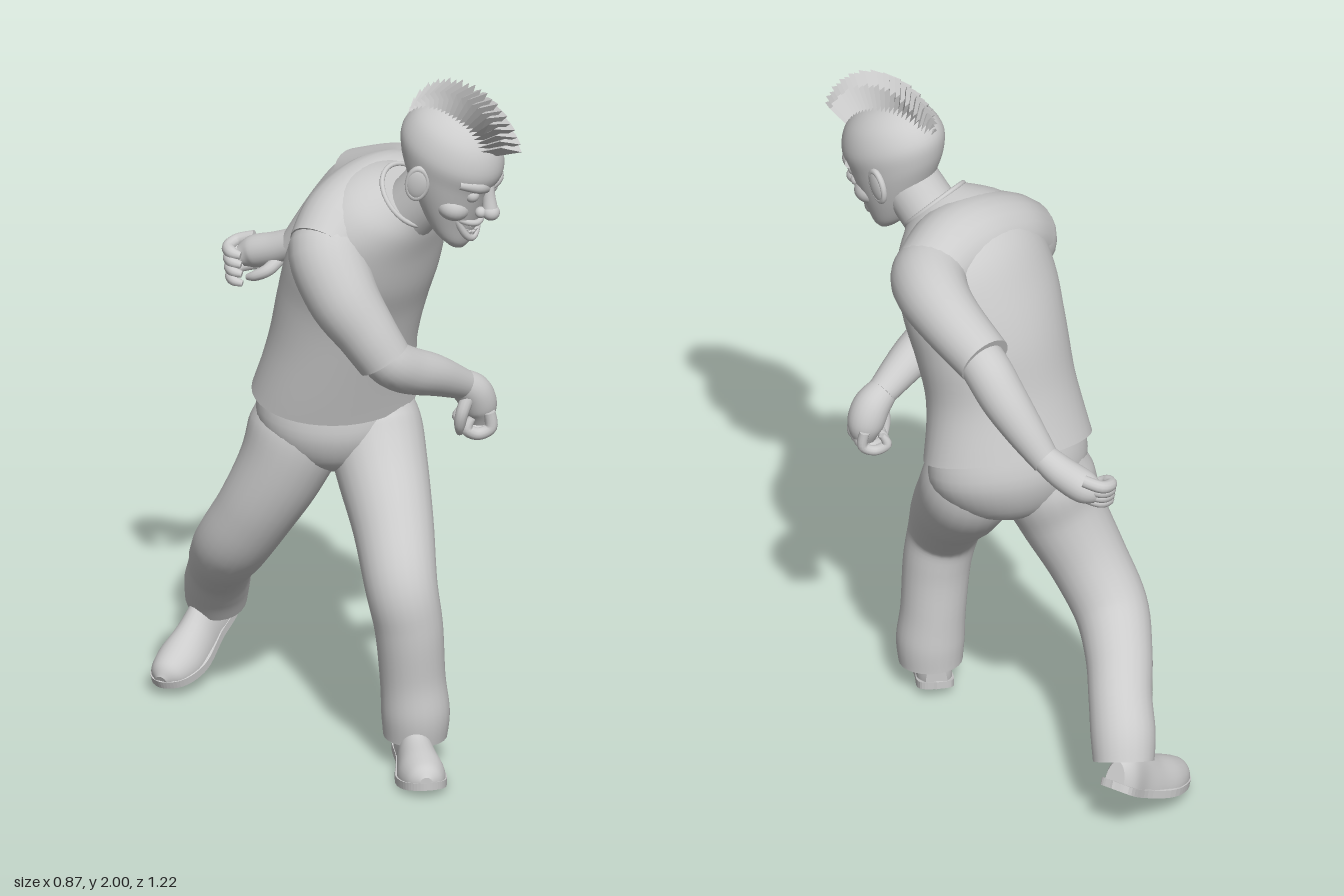
import * as THREE from 'three';

const V = (x, y, z) => new THREE.Vector3(x, y, z);
const material = new THREE.MeshStandardMaterial({ color: 0xcccccc });
const thin = new THREE.MeshStandardMaterial({ color: 0xcccccc, side: THREE.DoubleSide, flatShading: true });

function add(parent, name, geometry, mat = material) {
  const mesh = new THREE.Mesh(geometry, mat);
  mesh.name = name;
  parent.add(mesh);
  return mesh;
}

// Smooth interpolation through rows of numbers
function resample(rows, steps) {
  const out = [], last = rows.length - 1;
  for (let i = 0; i <= last * steps; i++) {
    const k = Math.min(Math.floor(i / steps), last - 1), t = i / steps - k;
    const a = rows[Math.max(k - 1, 0)], b = rows[k], c = rows[k + 1], d = rows[Math.min(k + 2, last)];
    out.push(b.map((v, n) => v + 0.5 * t * (c[n] - a[n] + t * (2 * a[n] - 5 * v + 4 * c[n] - d[n] + t * (3 * (v - c[n]) + d[n] - a[n])))));
  }
  return out;
}

// Closed skin over rings of points, with flat end caps
function skin(rings) {
  const n = rings[0].length;
  const centre = r => r.map(() => r.reduce((s, p) => s.add(p), V(0, 0, 0)).divideScalar(n));
  const end = rings[rings.length - 1];
  const all = [centre(rings[0]), rings[0], ...rings, end, centre(end)];
  const index = [];
  for (let i = 0; i < all.length - 1; i++) for (let j = 0; j < n; j++) {
    const a = i * n + j, b = i * n + (j + 1) % n;
    index.push(a, b, b + n, a, b + n, a + n);
  }
  const g = new THREE.BufferGeometry().setFromPoints(all.flat());
  g.setIndex(index);
  g.computeVertexNormals();
  return g;
}

// Rows: x, y, z, half width, half depth, yaw, pitch (bottom to top)
function loft(rows, steps = 5, n = 40) {
  return skin(resample(rows, steps).map(([x, y, z, a, b, yaw, pitch]) => {
    const e = new THREE.Euler(pitch, yaw, 0, 'YXZ');
    return Array.from({ length: n }, (_, j) => {
      const t = j / n * Math.PI * 2;
      return V(a * Math.cos(t), 0, -b * Math.sin(t)).applyEuler(e).add(V(x, y, z));
    });
  }));
}

// Rows: x, y, z, radius along a limb
function limb(rows, steps = 6, n = 24) {
  const pts = resample(rows, steps), pos = pts.map(p => V(p[0], p[1], p[2]));
  let normal = V(0.31, 0.23, 0.92);
  return skin(pts.map((p, i) => {
    const t = pos[Math.min(i + 1, pos.length - 1)].clone().sub(pos[Math.max(i - 1, 0)]).normalize();
    normal = normal.clone().addScaledVector(t, -normal.dot(t)).normalize();
    const side = t.clone().cross(normal);
    return Array.from({ length: n }, (_, j) => {
      const q = j / n * Math.PI * 2;
      return pos[i].clone().addScaledVector(normal, p[3] * Math.cos(q)).addScaledVector(side, p[3] * Math.sin(q));
    });
  }));
}

function ball(parent, name, r, [x, y, z], [sx, sy, sz] = [1, 1, 1]) {
  const m = add(parent, name, new THREE.SphereGeometry(r, 24, 16));
  m.position.set(x, y, z);
  m.scale.set(sx, sy, sz);
}

// Lifts the toe and heel of a shoe part
function curl(g) {
  const p = g.attributes.position;
  for (let i = 0; i < p.count; i++) {
    const u = (p.getZ(i) - 0.2) / 0.17;
    p.setY(i, p.getY(i) + 0.022 * u * u);
  }
  g.computeVertexNormals();
  return g;
}

// Shoe with its heel at the origin and toe towards +z
function makeShoe(name, position, yaw, pitch) {
  const shoe = new THREE.Group();
  shoe.name = name;
  const half = [[0.045, 0.015], [0.05, 0.12], [0.07, 0.26], [0.047, 0.345]];
  const outline = [[0, 0], ...half, [0, 0.37], ...half.map(([x, z]) => [-x, z]).reverse(), [0, 0]];
  const shape = new THREE.Shape(new THREE.CatmullRomCurve3(outline.map(([x, z]) => V(x, z, 0))).getPoints(60).map(p => new THREE.Vector2(p.x, p.y)));
  const sole = new THREE.ExtrudeGeometry(shape, { depth: 0.022, bevelEnabled: false });
  add(shoe, 'sole', curl(sole.rotateX(Math.PI / 2).translate(0, 0.024, 0)));
  const rows = [[0.008, 0.03, 0.06], [0.05, 0.048, 0.1], [0.12, 0.048, 0.11], [0.19, 0.058, 0.09], [0.27, 0.066, 0.074], [0.335, 0.05, 0.05], [0.364, 0.018, 0.018]];
  add(shoe, 'shoeUpper', curl(skin(resample(rows, 5).map(([z, w, h]) => Array.from({ length: 28 }, (_, j) => {
    const t = j / 28 * Math.PI * 2;
    return V(w * Math.cos(t), 0.021 + h * Math.max(0, Math.sin(t)), z);
  })))));
  shoe.position.set(...position);
  shoe.rotation.set(pitch, yaw, 0, 'YXZ');
  return shoe;
}

// Hand: palm, four curled fingers spread along a direction, and a thumb
function makeHand(name, palm, finger, spread, thumb) {
  const hand = new THREE.Group();
  hand.name = name;
  add(hand, 'palm', limb(palm));
  for (let i = 0; i < 4; i++) {
    const k = (i - 1.5) / 3, r = 0.0175 - 0.001 * i;
    add(hand, 'finger', limb(finger.map((p, q) => [...p.map((v, n) => v + spread[n] * k), q === finger.length - 1 ? r * 0.6 : r]), 5, 12));
  }
  add(hand, 'thumb', limb(thumb, 5, 12));
  return hand;
}

function makeHead() {
  const head = new THREE.Group();
  head.name = 'head';
  add(head, 'skull', loft([
    [0, -0.215, 0.108, 0.03, 0.027], [0, -0.19, 0.085, 0.058, 0.058], [0, -0.14, 0.055, 0.083, 0.088],
    [0, -0.08, 0.028, 0.104, 0.118], [0, -0.02, 0.006, 0.118, 0.143], [0, 0.04, -0.002, 0.125, 0.157],
    [0, 0.1, -0.006, 0.105, 0.132], [0, 0.14, -0.006, 0.063, 0.08], [0, 0.156, -0.006, 0.012, 0.016],
  ].map(r => [...r, 0, 0])));
  // Nose
  add(head, 'noseBridge', limb([[0, 0.005, 0.136, 0.016], [0, -0.03, 0.153, 0.018], [0, -0.062, 0.17, 0.022]]));
  ball(head, 'noseTip', 0.026, [0, -0.068, 0.174], [1, 0.9, 1]);
  for (const s of [-1, 1]) {
    ball(head, 'nostril', 0.016, [s * 0.022, -0.073, 0.157]);
    ball(head, 'eye', 0.021, [s * 0.046, -0.026, 0.124]);
    ball(head, 'cheek', 0.055, [s * 0.05, -0.085, 0.085], [0.9, 0.75, 0.9]);
    add(head, 'brow', limb([[s * 0.008, -0.006, 0.141, 0.013], [s * 0.045, 0.008, 0.132, 0.02], [s * 0.09, 0.008, 0.098, 0.013]]));
    // Ear with its raised rim
    const ear = new THREE.Group();
    ear.name = 'ear';
    ball(ear, 'earShell', 0.048, [0, 0, 0], [0.3, 1, 0.7]);
    const rim = add(ear, 'earRim', new THREE.TorusGeometry(0.038, 0.009, 10, 28));
    rim.rotation.y = Math.PI / 2;
    rim.scale.set(0.75, 1.15, 1);
    ear.position.set(s * 0.122, -0.045, -0.006);
    ear.rotation.set(-0.15, -s * 0.35, 0);
    head.add(ear);
  }
  // Grinning mouth
  const lip = (drop, r) => limb([-1, -0.5, 0, 0.5, 1].map(u => [u * 0.058, -0.112 - drop * (1 - u * u), 0.15 - 0.042 * u * u, r]), 5, 12);
  add(head, 'upperLip', lip(0.008, 0.009));
  add(head, 'lowerLip', lip(0.06, 0.01));
  for (let i = -3; i <= 3; i++) for (const upper of [1, 0]) {
    const u = i / 4.3;
    const tooth = add(head, 'tooth', new THREE.BoxGeometry(0.011, 0.015, 0.012));
    tooth.position.set(u * 0.058, upper ? -0.127 : -0.112 - 0.047 * (1 - u * u), 0.144 - 0.042 * u * u);
    tooth.rotation.y = u * 0.8;
  }
  // Mohawk: a fan of folded, pointed plates over the crown
  const count = 26;
  for (let i = 0; i < count; i++) {
    const k = i / (count - 1), tip = 0.178 + 0.074 * Math.sin(Math.min(k * 2.4, Math.PI / 2)) - 0.004 * (i % 2);
    const g = new THREE.BufferGeometry().setFromPoints([
      V(0, 0.11, 0.015), V(0, tip, 0.015), V(-0.054, 0.11, -0.014), V(-0.038, tip - 0.035, -0.014), V(0.054, 0.11, -0.014), V(0.038, tip - 0.035, -0.014)]);
    g.setIndex([0, 1, 3, 0, 3, 2, 0, 4, 5, 0, 5, 1, 2, 3, 5, 2, 5, 4, 1, 5, 3]);
    g.computeVertexNormals();
    add(head, 'mohawkPlate', g, thin).rotation.x = -1.27 + k * 2.12;
  }
  head.position.set(0.253, 1.76, 0.315);
  head.rotation.set(0.38, Math.PI / 4, 0, 'YXZ');
  return head;
}

export function createModel() {
  const model = new THREE.Group();
  model.name = 'runningFigure';

  // Shirt body, twisting from hips to shoulders, with a rounded shoulder yoke
  add(model, 'shirt', loft([
    [0.003, 0.985, -0.02, 0.242, 0.172, 0.24, 0.32], [0.015, 1.15, 0.025, 0.218, 0.172, 0.4, 0.25],
    [0.038, 1.3, 0.055, 0.228, 0.18, 0.55, 0.3], [0.062, 1.42, 0.095, 0.245, 0.182, 0.66, 0.4],
    [0.09, 1.53, 0.135, 0.235, 0.17, 0.7, 0.5], [0.125, 1.6, 0.185, 0.18, 0.14, 0.72, 0.65],
    [0.16, 1.63, 0.235, 0.1, 0.095, 0.74, 0.85]]));
  add(model, 'shoulderYoke', limb([[-0.085, 1.49, 0.25, 0.1], [-0.025, 1.545, 0.19, 0.112], [0.06, 1.575, 0.135, 0.122], [0.14, 1.578, 0.08, 0.12], [0.22, 1.552, 0.0, 0.105]]));
  const collar = add(model, 'collar', new THREE.TorusGeometry(0.096, 0.007, 12, 40).rotateX(Math.PI / 2));
  collar.position.set(0.16, 1.63, 0.235);
  collar.rotation.set(0.85, 0.74, 0, 'YXZ');
  add(model, 'neck', limb([[0.13, 1.54, 0.2, 0.085], [0.19, 1.63, 0.255, 0.083], [0.24, 1.71, 0.295, 0.083]]));
  model.add(makeHead());

  // Sleeves and forearms
  add(model, 'rightSleeve', limb([[0.0, 1.53, 0.18, 0.085], [-0.072, 1.492, 0.24, 0.106], [-0.045, 1.38, 0.31, 0.1], [0.015, 1.28, 0.35, 0.084], [0.062, 1.205, 0.366, 0.076]]));
  add(model, 'rightForearm', limb([[0.02, 1.27, 0.35, 0.06], [0.07, 1.2, 0.36, 0.066], [0.13, 1.155, 0.33, 0.066], [0.22, 1.11, 0.27, 0.058], [0.315, 1.05, 0.2, 0.042]]));
  add(model, 'leftSleeve', limb([[0.15, 1.55, 0.08, 0.09], [0.212, 1.552, 0.01, 0.107], [0.222, 1.55, -0.08, 0.1], [0.19, 1.525, -0.19, 0.088], [0.12, 1.475, -0.325, 0.077]]));
  add(model, 'leftForearm', limb([[0.16, 1.5, -0.25, 0.062], [0.12, 1.46, -0.335, 0.067], [0.08, 1.39, -0.39, 0.065], [0.03, 1.31, -0.435, 0.055], [-0.025, 1.225, -0.475, 0.04]]));
  model.add(makeHand('rightHand',
    [[0.3, 1.06, 0.21, 0.04], [0.345, 1.02, 0.185, 0.052], [0.365, 0.97, 0.172, 0.05], [0.368, 0.925, 0.17, 0.03]],
    [[0.38, 0.97, 0.17], [0.385, 0.925, 0.17], [0.35, 0.908, 0.17], [0.318, 0.925, 0.17], [0.332, 0.955, 0.17]], [-0.01, 0.005, -0.085],
    [[0.33, 1.03, 0.215, 0.02], [0.308, 0.98, 0.228, 0.018], [0.302, 0.94, 0.22, 0.016], [0.305, 0.91, 0.205, 0.01]]));
  model.add(makeHand('leftHand',
    [[-0.01, 1.245, -0.465, 0.038], [-0.06, 1.21, -0.51, 0.045], [-0.115, 1.185, -0.555, 0.046], [-0.15, 1.17, -0.568, 0.03]],
    [[-0.11, 1.185, -0.565], [-0.155, 1.172, -0.582], [-0.185, 1.162, -0.56], [-0.182, 1.155, -0.53], [-0.16, 1.15, -0.515]], [0, -0.07, 0.03],
    [[-0.05, 1.19, -0.5, 0.02], [-0.09, 1.16, -0.48, 0.018], [-0.125, 1.14, -0.49, 0.015], [-0.145, 1.13, -0.508, 0.009]]));

  // Trousers
  add(model, 'trouserSeat', loft([
    [-0.005, 0.765, -0.01, 0.05, 0.06, 0.2, 0.1], [-0.005, 0.82, -0.022, 0.165, 0.13, 0.22, 0.15],
    [0.003, 0.92, -0.025, 0.226, 0.167, 0.24, 0.22], [0.003, 1.04, -0.015, 0.215, 0.15, 0.26, 0.32]]));
  add(model, 'leftTrouserLeg', limb([[0.085, 1.0, -0.03, 0.1], [0.104, 0.88, -0.008, 0.132], [0.114, 0.77, 0.075, 0.127], [0.12, 0.65, 0.2, 0.112], [0.12, 0.52, 0.31, 0.1],
    [0.138, 0.4, 0.328, 0.094], [0.15, 0.25, 0.322, 0.09], [0.158, 0.15, 0.322, 0.094], [0.158, 0.08, 0.318, 0.088]]));
  add(model, 'rightTrouserLeg', limb([[-0.085, 1.0, -0.03, 0.1], [-0.1, 0.88, -0.022, 0.135], [-0.143, 0.76, -0.03, 0.124], [-0.21, 0.62, -0.07, 0.11], [-0.262, 0.5, -0.14, 0.103],
    [-0.265, 0.42, -0.25, 0.093], [-0.25, 0.35, -0.36, 0.088], [-0.245, 0.28, -0.43, 0.09], [-0.24, 0.215, -0.47, 0.085]]));

  // Shoes
  model.add(makeShoe('leftShoe', [0.155, 0, 0.235], -0.06, 0));
  model.add(makeShoe('rightShoe', [-0.185, 0.145, -0.55], -0.76, 0.39));
  return model;
}
